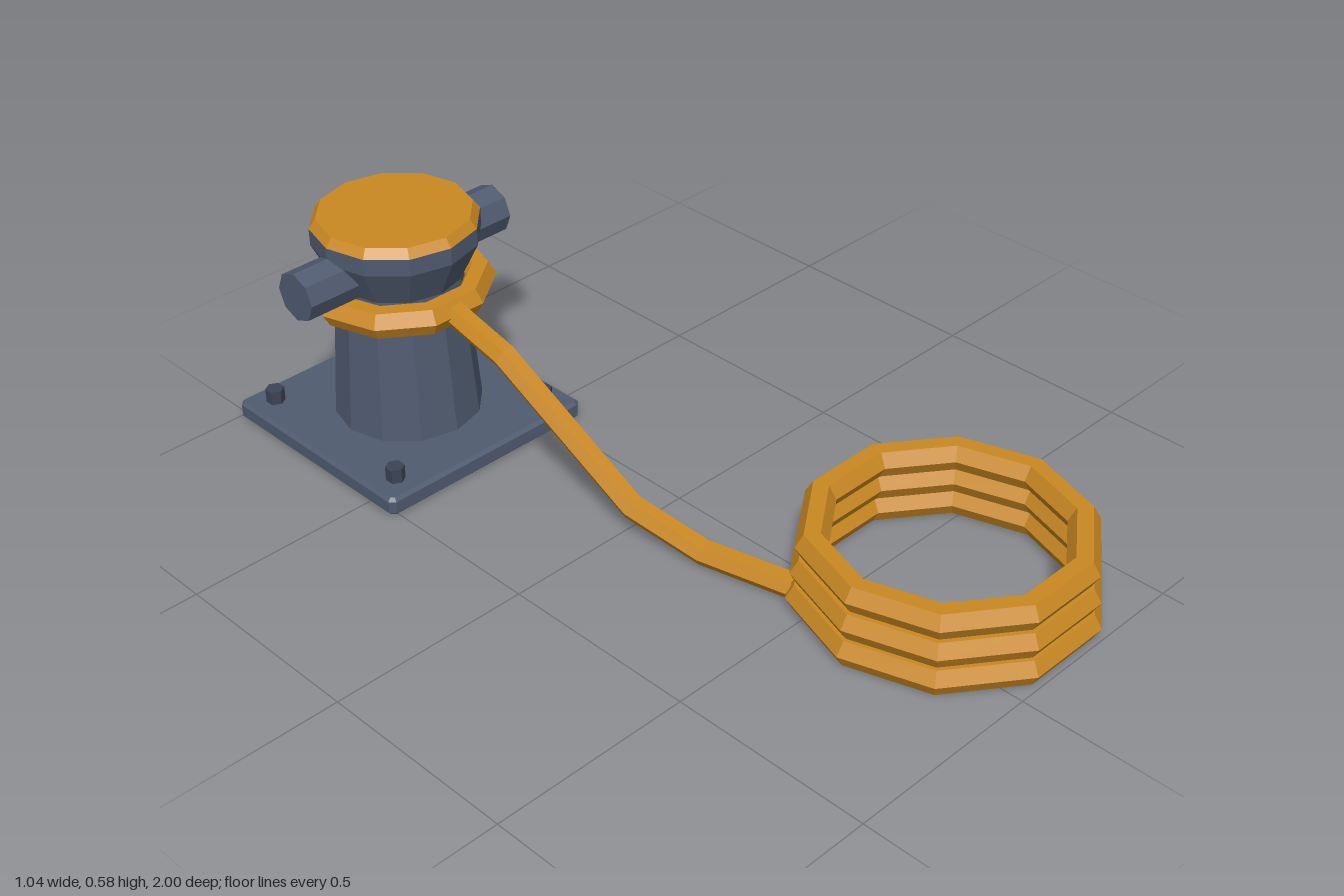
import * as THREE from 'three';

const mat = (name, color) => {
  const m = new THREE.MeshStandardMaterial({ color, flatShading: true });
  m.name = name;
  return m;
};

// Polyline path with one tube section per point, mitred at the corners
class Polyline extends THREE.Curve {
  constructor(points) { super(); this.points = points; }
  getPoint(t, target = new THREE.Vector3()) {
    const n = this.points.length - 1;
    const i = Math.min(Math.floor(t * n + 1e-9), n - 1);
    return target.lerpVectors(this.points[i], this.points[i + 1], t * n - i);
  }
  getPointAt(t, target) { return this.getPoint(t, target); }
  getTangentAt(t, target = new THREE.Vector3()) {
    const p = this.points, n = p.length - 1, i = Math.round(t * n);
    target.set(0, 0, 0);
    if (i > 0) target.add(p[i].clone().sub(p[i - 1]).normalize());
    if (i < n) target.add(p[i + 1].clone().sub(p[i]).normalize());
    return target.normalize();
  }
}

export function createModel() {
  const model = new THREE.Group();
  model.name = 'mooringBollard';
  const steel = mat('slateSteel', 0x505b70);
  const boltSteel = mat('darkSteel', 0x3c4454);
  const orange = mat('ropeOrange', 0xc98822);

  const add = (parent, name, geometry, material, x = 0, y = 0, z = 0) => {
    const mesh = new THREE.Mesh(geometry, material);
    mesh.name = name;
    mesh.position.set(x, y, z);
    parent.add(mesh);
    return mesh;
  };

  // Flat-lying rope loop: ten segments, hexagonal section
  const ropeLoop = (parent, name, radius, x, y, z) =>
    add(parent, name, new THREE.TorusGeometry(radius, 0.0378, 6, 10).rotateX(Math.PI / 2), orange, x, y, z);

  const bollard = new THREE.Group();
  bollard.name = 'bollard';
  bollard.position.set(-0.225, 0, -0.705);
  model.add(bollard);

  // Base plate with chamfered edges and corners
  const b = 0.008, h = 0.295 - b, c = h - b;
  const outline = new THREE.Shape([
    [h, -c], [h, c], [c, h], [-c, h], [-h, c], [-h, -c], [-c, -h], [c, -h],
  ].map(([x, y]) => new THREE.Vector2(x, y)));
  const plate = new THREE.ExtrudeGeometry(outline, {
    depth: 0.047 - 2 * b, bevelEnabled: true, bevelSize: b, bevelThickness: b, bevelSegments: 1,
  }).rotateX(-Math.PI / 2);
  add(bollard, 'basePlate', plate, steel, 0, b, 0);

  // Corner bolts
  for (const sx of [-1, 1]) for (const sz of [-1, 1]) {
    add(bollard, 'bolt', new THREE.CylinderGeometry(0.023, 0.023, 0.045, 6), boltSteel, sx * 0.23, 0.0605, sz * 0.23);
  }

  // Tapered post, flared head and coloured cap
  add(bollard, 'post', new THREE.CylinderGeometry(0.152, 0.18, 0.375, 12), steel, 0, 0.2325, 0);
  const head = [[0.15, 0.41], [0.2, 0.512], [0.2, 0.555]].map(([r, y]) => new THREE.Vector2(r, y));
  add(bollard, 'head', new THREE.LatheGeometry(head, 12), steel);
  add(bollard, 'cap', new THREE.CylinderGeometry(0.184, 0.2, 0.022, 12), orange, 0, 0.566, 0);

  // Cross bar through the head
  add(bollard, 'crossBar', new THREE.CylinderGeometry(0.061, 0.061, 0.593, 8).rotateZ(Math.PI / 2), steel, 0, 0.467, 0);

  // Rope turn around the post
  ropeLoop(bollard, 'ropeTurn', 0.19, 0, 0.387, 0);

  // Stacked coil on the ground
  const coil = new THREE.Group();
  coil.name = 'ropeCoil';
  model.add(coil);
  [0.319, 0.311, 0.302].forEach((r, i) => ropeLoop(coil, 'coilLoop', r, 0.16, 0.0328 + i * 0.0675, 0.66));

  // Rope running from the post down to the coil
  const path = [
    [-0.225, 0.388, -0.53], [-0.225, 0.342, -0.335], [-0.175, 0.08, 0.025],
    [-0.14, 0.036, 0.215], [-0.085, 0.034, 0.44],
  ].map((p) => new THREE.Vector3(...p));
  add(model, 'ropeLead', new THREE.TubeGeometry(new Polyline(path), path.length - 1, 0.031, 6), orange);

  return model;
}
